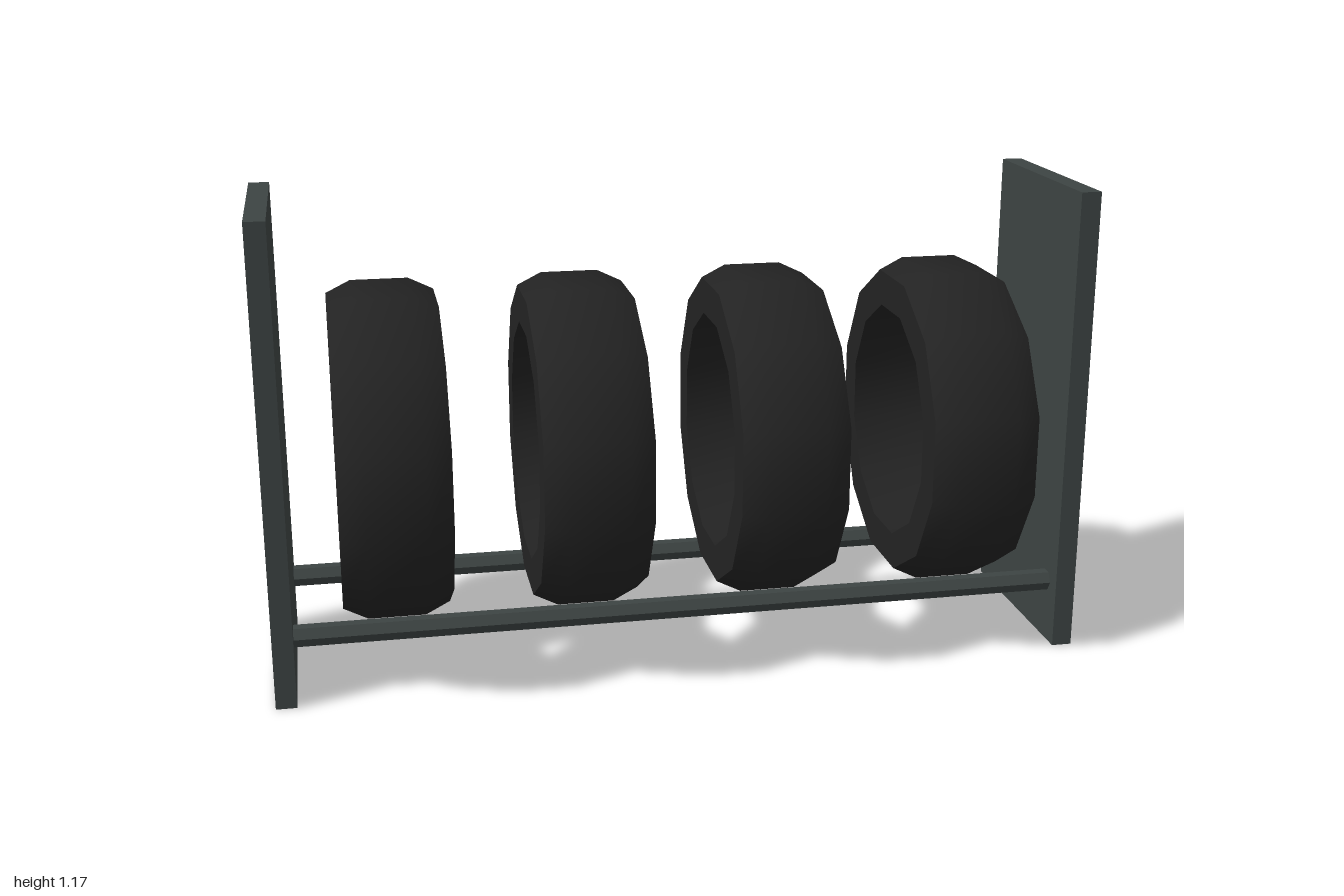
import * as THREE from 'three';
import { toCreasedNormals } from 'three/addons/utils/BufferGeometryUtils.js';

export function createModel() {
  const model = new THREE.Group();
  model.name = 'tyreRack';

  const metal = new THREE.MeshStandardMaterial({ color: 0x3d4443 });
  metal.name = 'darkGreyMetal';
  const rubber = new THREE.MeshStandardMaterial({ color: 0x232323 });
  rubber.name = 'blackRubber';

  const add = (name, geometry, material, x, y, z) => {
    const mesh = new THREE.Mesh(geometry, material);
    mesh.name = name;
    mesh.position.set(x, y, z);
    model.add(mesh);
  };

  // Upright end panels
  const panel = new THREE.BoxGeometry(0.05, 1.17, 0.52);
  add('leftEndPanel', panel, metal, 0.975, 0.585, 0);
  add('rightEndPanel', panel, metal, -0.975, 0.585, 0);

  // Hexagonal support rails, flat side up
  const rail = toCreasedNormals(
    new THREE.CylinderGeometry(0.027, 0.027, 1.9, 6).rotateY(Math.PI / 6).rotateZ(Math.PI / 2), 0.6);
  rail.rotateX(Math.PI / 6);
  rail.computeBoundingBox();
  if (rail.boundingBox.max.y > 0.025) rail.rotateX(Math.PI / 6);
  add('frontRail', rail, metal, 0, 0.157, 0.195);
  add('backRail', rail, metal, 0, 0.157, -0.195);

  // Tyre ring: twelve sides, bevelled tread, open centre
  const toCorner = 1 / Math.cos(Math.PI / 12);
  const profile = [
    [0.285, -0.13], [0.372, -0.13], [0.4, -0.07], [0.4, 0.07],
    [0.372, 0.13], [0.285, 0.13], [0.285, -0.13],
  ].map(([r, w]) => new THREE.Vector2(r * toCorner, w));
  const tyre = toCreasedNormals(
    new THREE.LatheGeometry(profile, 12, Math.PI / 12).rotateZ(Math.PI / 2), 0.7);
  for (let i = 0; i < 4; i++) {
    add(`tyre${i + 1}`, tyre, rubber, -0.7 + i * 0.4667, 0.55, 0);
  }

  return model;
}
